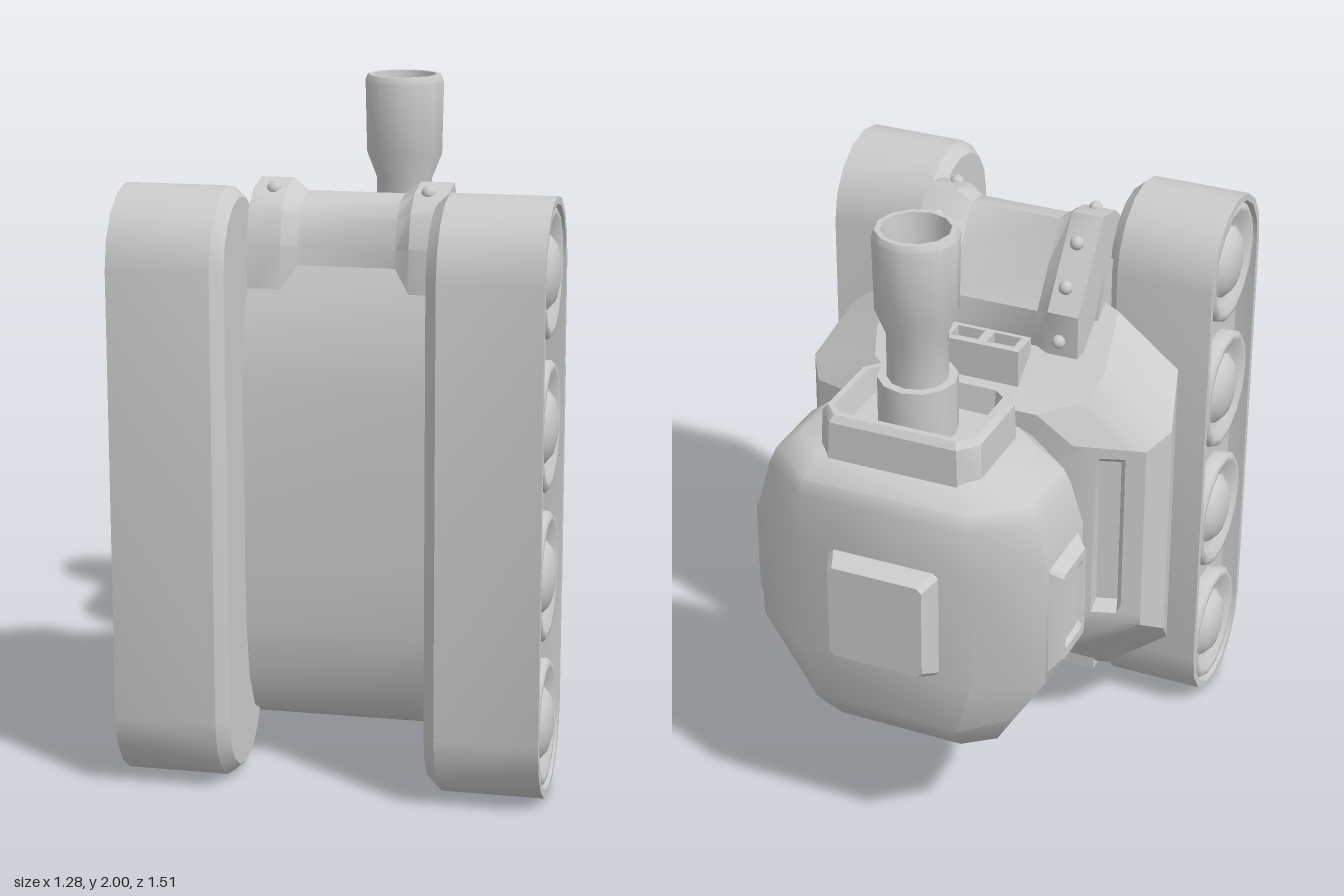
import * as THREE from 'three';
import { toCreasedNormals } from 'three/addons/utils/BufferGeometryUtils.js';
import { RoundedBoxGeometry } from 'three/addons/geometries/RoundedBoxGeometry.js';

const material = new THREE.MeshStandardMaterial({ color: 0xcccccc });

function add(parent, name, geometry, x = 0, y = 0, z = 0) {
  const mesh = new THREE.Mesh(geometry, material);
  mesh.name = name;
  mesh.position.set(x, y, z);
  parent.add(mesh);
  return mesh;
}

// Skin a closed solid over rings of [x, y, z] points, capped at both ends
function loft(rings, crease = 0.6) {
  const n = rings[0].length;
  const tris = [];
  const centre = (r) => [0, 1, 2].map((k) => r.reduce((s, p) => s + p[k], 0) / n);
  const first = rings[0], last = rings[rings.length - 1];
  const c0 = centre(first), c1 = centre(last);
  for (let j = 0; j < n; j++) {
    const k = (j + 1) % n;
    for (let i = 0; i < rings.length - 1; i++) {
      const a = rings[i], b = rings[i + 1];
      tris.push([a[j], a[k], b[k]], [a[j], b[k], b[j]]);
    }
    tris.push([c0, first[k], first[j]], [c1, last[j], last[k]]);
  }
  // Turn the faces outward using the signed volume
  let volume = 0;
  for (const [a, b, c] of tris) {
    volume += a[0] * (b[1] * c[2] - b[2] * c[1]) + a[1] * (b[2] * c[0] - b[0] * c[2])
      + a[2] * (b[0] * c[1] - b[1] * c[0]);
  }
  if (volume < 0) tris.forEach((t) => t.reverse());
  const g = new THREE.BufferGeometry();
  g.setAttribute('position', new THREE.Float32BufferAttribute(tris.flat(2), 3));
  return toCreasedNormals(g, crease);
}

// Rectangle with cut corners, as [u, v] pairs
function cutRect(hu, v0, v1, cu, cv) {
  return [[hu - cu, v0], [hu, v0 + cv], [hu, v1 - cv], [hu - cu, v1],
    [cu - hu, v1], [-hu, v1 - cv], [-hu, v0 + cv], [cu - hu, v0]];
}

const lathe = (points, sides, crease = 0.65) =>
  toCreasedNormals(new THREE.LatheGeometry(points.map((p) => new THREE.Vector2(...p)), sides), crease);

// Track on the +x or -x side, with four dished wheels
function track(side) {
  const group = new THREE.Group();
  group.name = side > 0 ? 'leftTrack' : 'rightTrack';
  const stadium = (x, r) => {
    const ring = [];
    for (let i = 0; i < 18; i++) {
      const top = i < 9;
      const a = ((top ? i : i - 1) / 8) * Math.PI;
      ring.push([side * x, (top ? 1.56 : 0.22) + Math.sin(a) * r, 0.53 + Math.cos(a) * r]);
    }
    return ring;
  };
  add(group, 'trackBelt', loft([stadium(0.29, 0.19), stadium(0.325, 0.222), stadium(0.63, 0.222),
    stadium(0.63, 0.2), stadium(0.575, 0.195)]));
  const wheel = lathe([[0.19, 0], [0.19, 0.045], [0.18, 0.055], [0.165, 0.055], [0.14, 0.035], [0.115, 0.03],
    [0.105, 0.04], [0.085, 0.058], [0.045, 0.069], [0, 0.072]], 14, 0.9);
  for (let i = 0; i < 4; i++) {
    add(group, 'wheel', wheel, side * 0.569, 0.22 + i * 0.448, 0.53).rotation.z = -side * Math.PI / 2;
  }
  return group;
}

// Hull layer at depth z; dent sinks the long slot in each flank
function hullLayer(z, hx, y0, y1, cx, cy, dent = 0) {
  const half = [[hx - cx, y0, z], [hx, y0 + cy, z], [hx, 0.57, z], [hx - dent * 0.3, 0.6, z + dent],
    [hx - dent * 0.3, 1.1, z + dent], [hx, 1.13, z], [hx, y1 - cy, z], [hx - cx, y1, z]];
  return [...half, ...half.map(([x, y, w]) => [-x, y, w]).reverse()];
}

function hull() {
  const group = new THREE.Group();
  group.name = 'hull';
  const slope = (t, dent) => hullLayer(-0.07 * t, 0.55 - 0.21 * t, 0.4 + 0.06 * t, 1.29 - 0.04 * t,
    0.2 - 0.08 * t, 0.13 - 0.05 * t, dent);
  add(group, 'upperHull', loft([
    hullLayer(0.295, 0.3, 0.12, 1.49, 0.04, 0.08),
    hullLayer(0.26, 0.55, 0.16, 1.47, 0.2, 0.16),
    hullLayer(0.08, 0.6, 0.33, 1.35, 0.22, 0.15),
    slope(0, 0), slope(0.28, 0), slope(0.34, 0.035), slope(0.64, 0.035), slope(0.7, 0), slope(1, 0)], 0.45));

  // Curved belly between the tracks
  const belly = [[0.26, 0.12], [0.33, 0.12], [0.42, 0.17], [0.48, 0.28], [0.51, 0.45], [0.52, 0.7],
    [0.52, 1.2], [0.49, 1.4], [0.42, 1.56], [0.3, 1.62], [0.22, 1.45]];
  add(group, 'belly', loft([-0.3, 0.3].map((x) => belly.map(([z, y]) => [x, y, z]))));

  // Bolted nose plate, raised at both sides
  const outer = [[0.46, 1.44], [0.46, 1.6], [0.43, 1.7], [0.37, 1.75], [0.27, 1.77], [0.17, 1.64], [0.08, 1.52], [0.08, 1.38]];
  const inner = [[0.43, 1.44], [0.43, 1.59], [0.405, 1.68], [0.36, 1.72], [0.28, 1.735], [0.195, 1.62], [0.11, 1.5], [0.11, 1.38]];
  const section = (x, p) => [...p.map(([z, y]) => [x, y, z]), [x, 1.38, 0.3]];
  add(group, 'nosePlate', loft([section(-0.29, outer), section(-0.19, outer), section(-0.145, inner),
    section(0.145, inner), section(0.19, outer), section(0.29, outer)]));
  const bolt = new THREE.SphereGeometry(0.022, 10, 8);
  for (const x of [-0.23, 0.23]) {
    for (const [y, z] of [[1.43, 0.075], [1.59, 0.125], [1.7, 0.21], [1.75, 0.36]]) add(group, 'noseBolt', bolt, x, y, z);
  }

  // Twin-window viewing block
  const frame = new THREE.Shape([[-0.13, -0.05], [0.13, -0.05], [0.13, 0.05], [-0.13, 0.05]].map((p) => new THREE.Vector2(...p)));
  for (const s of [-1, 1]) {
    frame.holes.push(new THREE.Path([[0.015, -0.03], [0.015, 0.035], [0.105, 0.035], [0.105, -0.03]]
      .map(([x, y]) => new THREE.Vector2(s * x, y))));
  }
  const rim = new THREE.ExtrudeGeometry(frame, { depth: 0.05, bevelEnabled: false });
  add(group, 'viewBlockRim', rim, 0, 1.41, 0.05).rotation.x = Math.PI / 2;
  add(group, 'viewBlock', new THREE.BoxGeometry(0.26, 0.18, 0.1), 0, 1.285, 0.05);

  // Fuel can strapped to the rear slope
  const can = new THREE.Group();
  can.name = 'fuelCan';
  add(can, 'canBody', new RoundedBoxGeometry(0.13, 0.2, 0.07, 2, 0.018));
  add(can, 'canHandle', new THREE.TorusGeometry(0.032, 0.01, 6, 10, Math.PI), 0.01, 0.095, 0);
  add(can, 'canCap', new THREE.CylinderGeometry(0.015, 0.015, 0.03, 8), -0.045, 0.105, 0);
  can.position.set(0.14, 0.222, 0.14);
  can.rotation.x = -0.84;
  group.add(can);
  return group;
}

function turret() {
  const group = new THREE.Group();
  group.name = 'turret';
  const layer = (y, hx, z0, z1, cx, cz) => cutRect(hx, z0, z1, cx, cz).map(([x, z]) => [x, y, z]);
  add(group, 'turretBody', loft([
    layer(0.33, 0.2, -0.51, -0.35, 0.05, 0.04),
    layer(0.37, 0.29, -0.59, -0.28, 0.09, 0.07),
    layer(0.49, 0.36, -0.69, -0.18, 0.13, 0.13),
    layer(0.66, 0.465, -0.69, -0.175, 0.19, 0.12),
    layer(1.06, 0.465, -0.69, -0.175, 0.19, 0.12),
    layer(1.2, 0.43, -0.69, -0.18, 0.16, 0.13),
    layer(1.25, 0.41, -0.68, -0.19, 0.15, 0.13),
    layer(1.31, 0.34, -0.61, -0.25, 0.1, 0.09)], 0.75));

  // Hollow collar around the gun
  add(group, 'gunCollar', loft([
    layer(1.28, 0.255, -0.62, -0.245, 0.05, 0.06), layer(1.42, 0.25, -0.615, -0.25, 0.05, 0.06),
    layer(1.44, 0.235, -0.6, -0.265, 0.045, 0.05), layer(1.44, 0.215, -0.58, -0.285, 0.035, 0.03),
    layer(1.36, 0.2, -0.565, -0.3, 0.02, 0.02)]));

  // Gun with a flared, bored muzzle
  add(group, 'gun', lathe([[0, 1.3], [0.118, 1.3], [0.118, 1.53], [0.09, 1.53], [0.09, 1.67], [0.122, 1.75],
    [0.127, 1.98], [0.118, 2], [0.102, 2], [0.095, 1.95], [0.085, 1.78], [0, 1.77]], 12), 0, 0, -0.435);

  // Rear stowage plate
  const plate = (z, hx, y0, y1) => cutRect(hx, y0, y1, 0.015, 0.015).map(([x, y]) => [x, y, z]);
  add(group, 'rearPlate', loft([plate(-0.66, 0.18, 0.67, 1.05), plate(-0.69, 0.175, 0.68, 1.04),
    plate(-0.755, 0.15, 0.71, 1.02)], 0.4));

  // Side pods with a shallow inset panel
  for (const s of [-1, 1]) {
    const pod = (x, hz, y0, y1) => cutRect(hz, y0, y1, 0.01, 0.01).map(([z, y]) => [s * x, y, z - 0.44]);
    add(group, s > 0 ? 'leftPod' : 'rightPod', loft([pod(0.42, 0.13, 0.66, 1.06), pod(0.465, 0.115, 0.68, 1.05),
      pod(0.5, 0.085, 0.72, 1.02), pod(0.5, 0.065, 0.75, 0.99), pod(0.488, 0.055, 0.765, 0.975)], 0.4));
  }

  // Mounting ring and neck joining the hull
  add(group, 'mountRing', lathe([[0, 0], [0.23, 0], [0.22, 0.05], [0.175, 0.09], [0, 0.09]], 12), 0, 0.86, -0.21)
    .rotation.x = Math.PI / 2;
  add(group, 'neck', toCreasedNormals(new THREE.CylinderGeometry(0.13, 0.13, 0.12, 14), 0.6), 0, 0.86, -0.1)
    .rotation.x = Math.PI / 2;
  for (let i = 0; i < 8; i++) {
    const a = (i + 0.5) * Math.PI / 4;
    add(group, 'mountBolt', new THREE.SphereGeometry(0.014, 8, 6), Math.cos(a) * 0.19, 0.86 + Math.sin(a) * 0.19, -0.138);
  }
  return group;
}

export function createModel() {
  const model = new THREE.Group();
  model.name = 'toyTank';
  model.add(track(1), track(-1), hull(), turret());
  return model;
}
